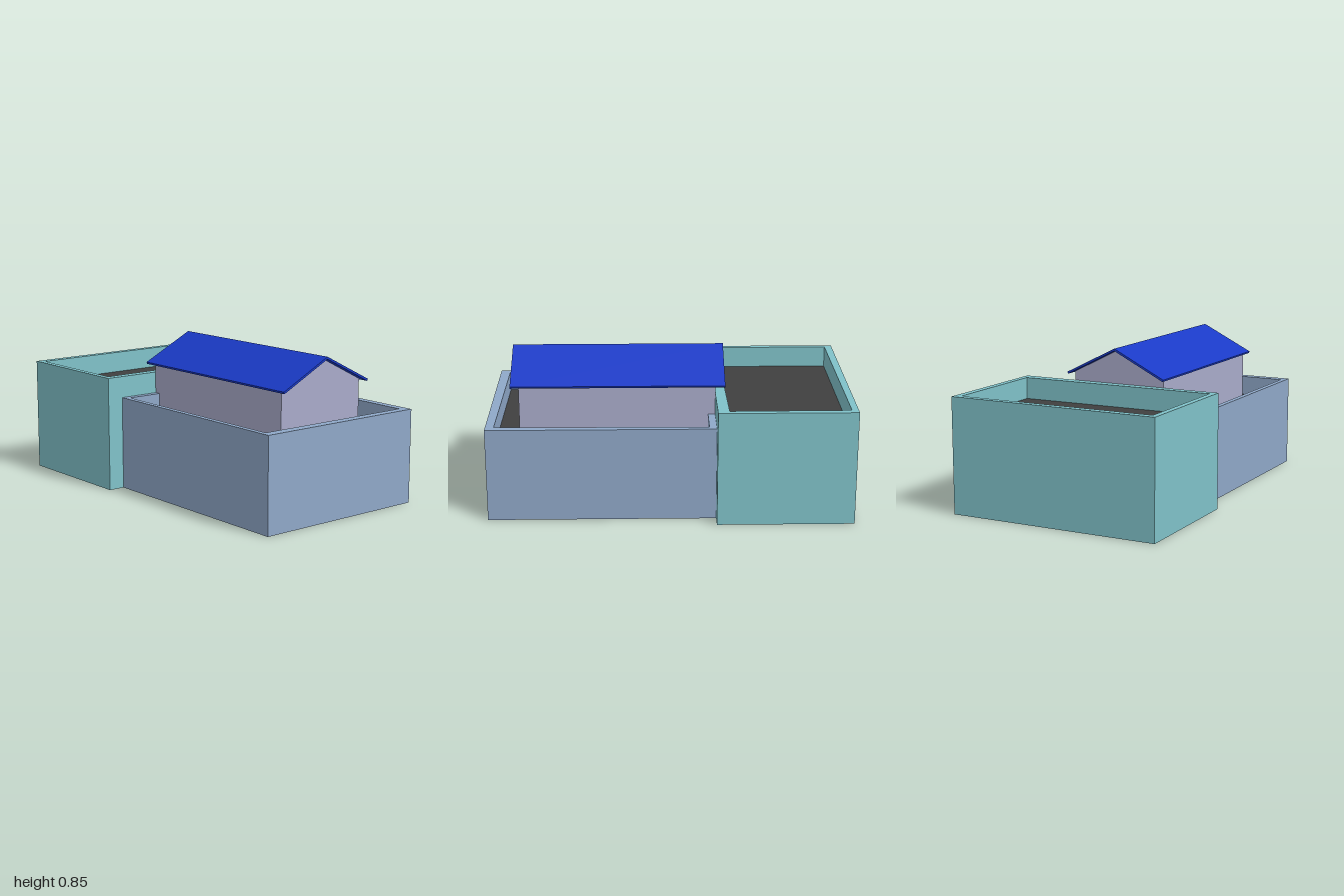
import * as THREE from 'three';

const material = (color) => new THREE.MeshStandardMaterial({ color, flatShading: true });

function makeMesh(name, geometry, mat) {
  const mesh = new THREE.Mesh(geometry, mat);
  mesh.name = name;
  return mesh;
}

const outline = (points) => new THREE.Shape(points.map(([x, y]) => new THREE.Vector2(x, y)));

// Ground-plan points are [x, z]; the result rises from y = bottom to y = top.
const planOutline = (points) => outline(points.map(([x, z]) => [x, -z]));

function extrudeUp(shape, bottom, top) {
  return new THREE.ExtrudeGeometry(shape, { depth: top - bottom, bevelEnabled: false })
    .rotateX(-Math.PI / 2)
    .translate(0, bottom, 0);
}

function extrudeAlongZ(points, back, front) {
  return new THREE.ExtrudeGeometry(outline(points), { depth: front - back, bevelEnabled: false })
    .translate(0, 0, back);
}

// Flat-roofed block: solid body, parapet around it and a dark sunken roof deck.
function createBlock(name, color, [x0, x1, z0, z1], deckPoints, deckY, top) {
  const block = new THREE.Group();
  block.name = name;
  const wallMaterial = material(color);

  const plan = [[x0, z1], [x1, z1], [x1, z0], [x0, z0]];
  block.add(makeMesh('body', extrudeUp(planOutline(plan), 0, deckY), wallMaterial));

  const ring = planOutline(plan);
  ring.holes.push(planOutline(deckPoints));
  block.add(makeMesh('parapet', extrudeUp(ring, deckY, top), wallMaterial));

  const deck = new THREE.ShapeGeometry(planOutline(deckPoints))
    .rotateX(-Math.PI / 2)
    .translate(0, deckY + 0.002, 0);
  block.add(makeMesh('roofDeck', deck, material(0x404040)));
  return block;
}

export function createModel() {
  const model = new THREE.Group();
  model.name = 'building';

  // Long lower block at the front
  model.add(createBlock('frontBlock', 0x8fa8c8, [-0.51, 0.515, -0.25, 1],
    [[-0.48, 0.945], [0.468, 0.953], [0.482, -0.21], [-0.48, -0.215]], 0.41, 0.523));

  // Wider, taller block at the back
  model.add(createBlock('backBlock', 0x80c2c9, [-0.603, 0.603, -1, -0.25],
    [[-0.57, -0.296], [0.568, -0.312], [0.563, -0.963], [-0.57, -0.957]], 0.52, 0.643));

  // Gabled upper storey standing on the front deck
  model.add(makeMesh('upperStorey', extrudeAlongZ(
    [[-0.275, 0.41], [0.281, 0.41], [0.281, 0.695], [0.004, 0.834], [-0.275, 0.695]],
    -0.252, 0.83), material(0xa9abca)));

  // Thin pitched roof overhanging all round
  model.add(makeMesh('pitchedRoof', extrudeAlongZ(
    [[-0.294, 0.685], [0.004, 0.834], [0.299, 0.685], [0.304, 0.696], [0.004, 0.847], [-0.298, 0.696]],
    -0.304, 0.875), material(0x1a3ac6)));

  return model;
}
